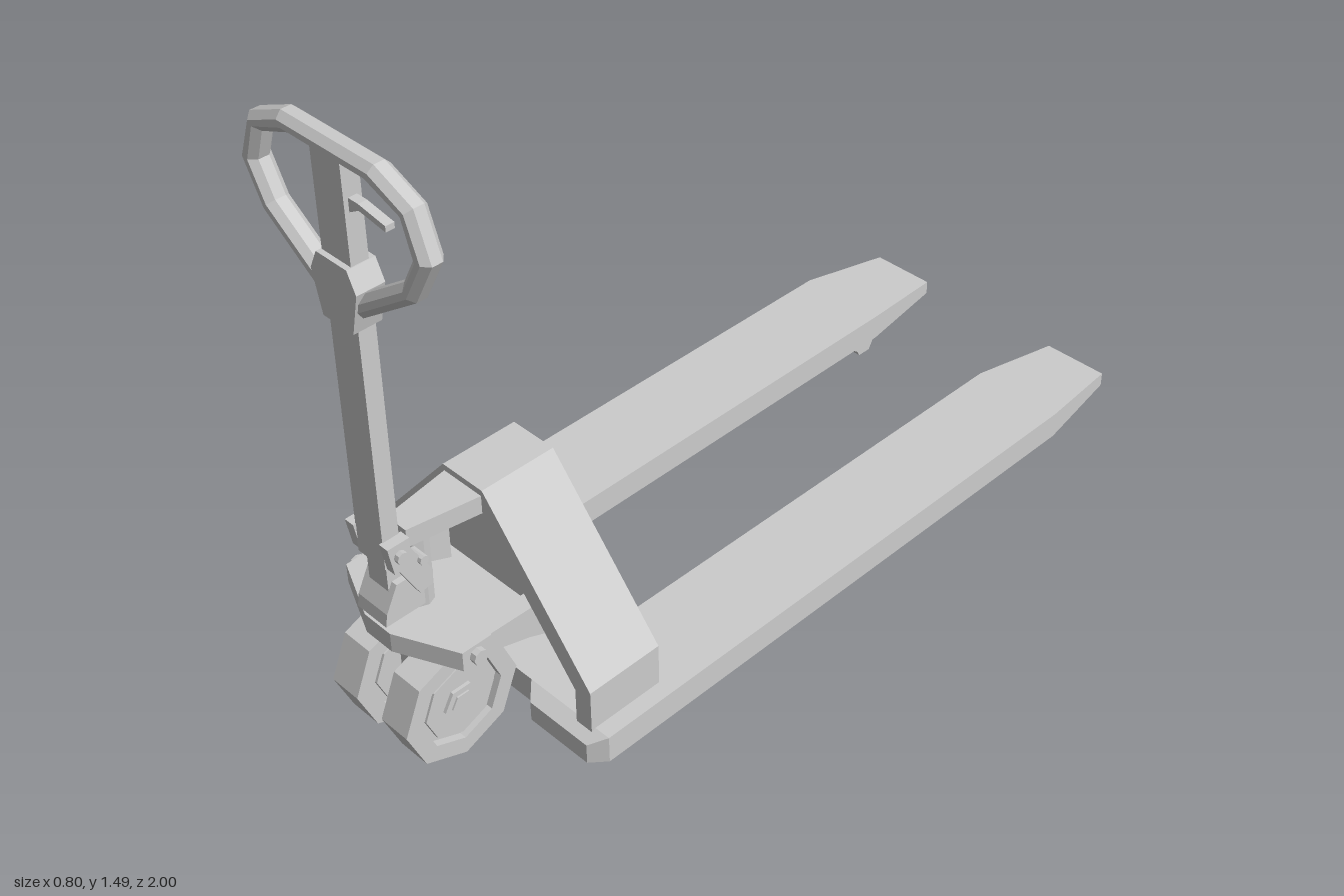
import * as THREE from 'three';

export function createModel() {
  const root = new THREE.Group();
  root.name = 'palletTruck';
  const steel = new THREE.MeshStandardMaterial({ color: 0xcccccc });
  steel.name = 'light grey';

  // Adds a faceted mesh
  const add = (name, geo) => {
    const g = geo.index ? geo.toNonIndexed() : geo;
    g.computeVertexNormals();
    const mesh = new THREE.Mesh(g, steel);
    mesh.name = name;
    root.add(mesh);
    return mesh;
  };
  const shapeOf = pts => new THREE.Shape(pts.map(p => new THREE.Vector2(...p)));
  const extrude = (shape, depth, bevel = 0) => new THREE.ExtrudeGeometry(shape, {
    depth, bevelEnabled: bevel > 0, bevelSize: bevel, bevelThickness: bevel, bevelOffset: -bevel, bevelSegments: 1,
  });
  const mirrored = pts => [...pts, ...pts.slice().reverse().map(([x, y]) => [-x, y])];
  // Outline in (x, y) between two depths
  const frontPlate = (name, pts, z0, z1) => add(name, extrude(shapeOf(pts), z1 - z0).translate(0, 0, z0));
  // Outline in (z, y) between two widths
  const sidePlate = (name, pts, x0, x1) =>
    add(name, extrude(shapeOf(pts), x1 - x0).rotateY(-Math.PI / 2).translate(x1, 0, 0));
  // Outline in (x, z) between two heights
  const planPlate = (name, pts, y0, y1) =>
    add(name, extrude(shapeOf(pts), y1 - y0).rotateX(Math.PI / 2).translate(0, y1, 0));
  const box = (name, x0, x1, y0, y1, z0, z1) => add(name,
    new THREE.BoxGeometry(x1 - x0, y1 - y0, z1 - z0).translate((x0 + x1) / 2, (y0 + y1) / 2, (z0 + z1) / 2));
  const pinX = (name, r, sides, x0, x1, y, z) => add(name,
    new THREE.CylinderGeometry(r, r, x1 - x0, sides).rotateZ(Math.PI / 2).translate((x0 + x1) / 2, y, z));

  // Rectangular sections [z, x0, x1, y0, y1], listed front to back
  const loft = (name, sections) => {
    const pos = [], idx = [];
    sections.forEach(([z, x0, x1, y0, y1]) => pos.push(x0, y0, z, x1, y0, z, x1, y1, z, x0, y1, z));
    for (let s = 0; s < sections.length - 1; s++) {
      for (let i = 0; i < 4; i++) {
        const a = s * 4 + i, b = s * 4 + (i + 1) % 4;
        idx.push(a, a + 4, b, b, a + 4, b + 4);
      }
    }
    const e = (sections.length - 1) * 4;
    idx.push(0, 1, 2, 0, 2, 3, e, e + 2, e + 1, e, e + 3, e + 2);
    const g = new THREE.BufferGeometry();
    g.setAttribute('position', new THREE.Float32BufferAttribute(pos, 3));
    g.setIndex(idx);
    add(name, g);
  };

  // Forks with tapered tips and chamfered heels, joined by a bridge
  const fork = [
    [0.745, 0.2, 0.37, 0.08, 0.13],
    [0.71, 0.165, 0.4, 0.08, 0.147],
    [-0.76, 0.17, 0.4, 0.08, 0.147],
    [-1, 0.2, 0.365, 0.085, 0.12],
  ];
  loft('leftFork', fork);
  loft('rightFork', fork.map(([z, a, b, c, d]) => [z, -b, -a, c, d]));
  box('forkBridge', -0.17, 0.17, 0.08, 0.147, 0.47, 0.71);

  // Tower: back plate and a surrounding arch, open to the front
  const outline = [[0.36, 0.14], [0.36, 0.25], [0.06, 0.6]];
  frontPlate('towerBack', mirrored(outline), 0.53, 0.56);
  frontPlate('towerArch', [
    ...mirrored(outline),
    ...mirrored([[0.315, 0.14], [0.315, 0.23], [0.05, 0.54]]).reverse(),
  ], 0.56, 0.72);

  // Upper arm reaching from the tower to the pump
  planPlate('upperArm', [[0.06, 0.7], [0.03, 0.89], [-0.03, 0.89], [-0.06, 0.7]], 0.54, 0.585);

  // Pump column and turntable yoke
  add('pumpColumn', new THREE.CylinderGeometry(0.03, 0.03, 0.42, 8).translate(0, 0.35, 0.85));
  add('pumpRod', new THREE.CylinderGeometry(0.017, 0.017, 0.1, 8).translate(0, 0.535, 0.85));
  planPlate('yoke', mirrored([[0.09, 0.78], [0.185, 0.82], [0.185, 0.895], [0.04, 0.96]]), 0.315, 0.363);
  box('axleBlock', -0.033, 0.033, 0.12, 0.32, 0.82, 0.89);
  pinX('axle', 0.03, 6, -0.1, 0.1, 0.155, 0.857);

  // Roller profile: outer tread, recessed groove, disc
  const wheelProfile = [
    [0, -0.034], [0.09, -0.034], [0.09, -0.022], [0.104, -0.022], [0.104, -0.04], [0.146, -0.04],
    [0.146, 0.04], [0.104, 0.04], [0.104, 0.022], [0.09, 0.022], [0.09, 0.034], [0, 0.034],
  ].map(p => new THREE.Vector2(...p));

  for (const s of [1, -1]) {
    const side = s > 0 ? 'left' : 'right';
    const span = (a, b) => (s > 0 ? [a, b] : [-b, -a]);

    // Steering wheels
    add(side + 'SteerWheel', new THREE.LatheGeometry(wheelProfile, 8)
      .rotateZ(Math.PI / 2).translate(s * 0.08, 0.156, 0.857));
    pinX(side + 'WheelHub', 0.046, 6, ...span(0.1, 0.122), 0.156, 0.857).rotation.x = 0;
    pinX(side + 'HubCap', 0.03, 6, ...span(0.12, 0.126), 0.156, 0.857);

    // Yoke links back to the tower, with bolts
    sidePlate(side + 'YokeLink', [[0.89, 0.315], [0.89, 0.363], [0.82, 0.363], [0.66, 0.36],
      [0.66, 0.26], [0.72, 0.285], [0.82, 0.315]], ...span(0.14, 0.182));
    pinX(side + 'YokeBolt', 0.018, 8, ...span(0.18, 0.2), 0.338, 0.86);

    // Handle cheeks and slanted links
    sidePlate(side + 'HandleCheek', [[0.962, 0.6], [0.908, 0.6], [0.908, 0.55], [0.925, 0.53], [0.95, 0.53]],
      ...span(0.04, 0.066));
    sidePlate(side + 'HandleLink', [[0.953, 0.56], [0.935, 0.59], [0.905, 0.57], [0.855, 0.48],
      [0.86, 0.445], [0.89, 0.44]], ...span(0.046, 0.06));
    pinX(side + 'HandlePin', 0.014, 8, ...span(0.06, 0.078), 0.57, 0.935);
    pinX(side + 'LinkPin', 0.011, 8, ...span(0.03, 0.07), 0.525, 0.88);

    // Load roller under the fork tip, carried by a slanted arm
    sidePlate(side + 'RollerArm', [[-0.66, 0.085], [-0.74, 0.085], [-0.79, 0.05], [-0.77, 0.02], [-0.745, 0.022]],
      ...span(0.205, 0.355));
    pinX(side + 'LoadRoller', 0.037, 6, ...span(0.213, 0.337), 0.038, -0.77);
  }

  // Handle foot
  sidePlate('handleFoot', [[0.97, 0.39], [0.965, 0.42], [0.935, 0.48], [0.87, 0.48], [0.87, 0.39]], -0.045, 0.045);
  box('handleNeck', -0.03, 0.03, 0.42, 0.54, 0.89, 0.945);

  // Handle shaft and collar
  box('handleShaft', -0.042, 0.042, 0.53, 1.47, 0.915, 0.955);
  frontPlate('handleCollar', mirrored([[0.044, 1.105], [0.066, 1.2], [0.044, 1.245]]), 0.902, 0.967);

  // Closed grip loop with chamfered edges
  const grip = shapeOf(mirrored([[0.03, 1.12], [0.215, 1.25], [0.268, 1.35], [0.23, 1.45], [0.13, 1.493]]));
  grip.holes.push(new THREE.Path(mirrored([[0.03, 1.172], [0.185, 1.28], [0.222, 1.35], [0.198, 1.42], [0.115, 1.452]])
    .map(p => new THREE.Vector2(...p))));
  add('gripLoop', extrude(grip, 0.024, 0.014).translate(0, 0, 0.923));

  // Release lever
  frontPlate('releaseLever', [[0.04, 1.355], [0.07, 1.372], [0.143, 1.361], [0.143, 1.374], [0.07, 1.386], [0.04, 1.386]],
    0.925, 0.945);

  return root;
}
